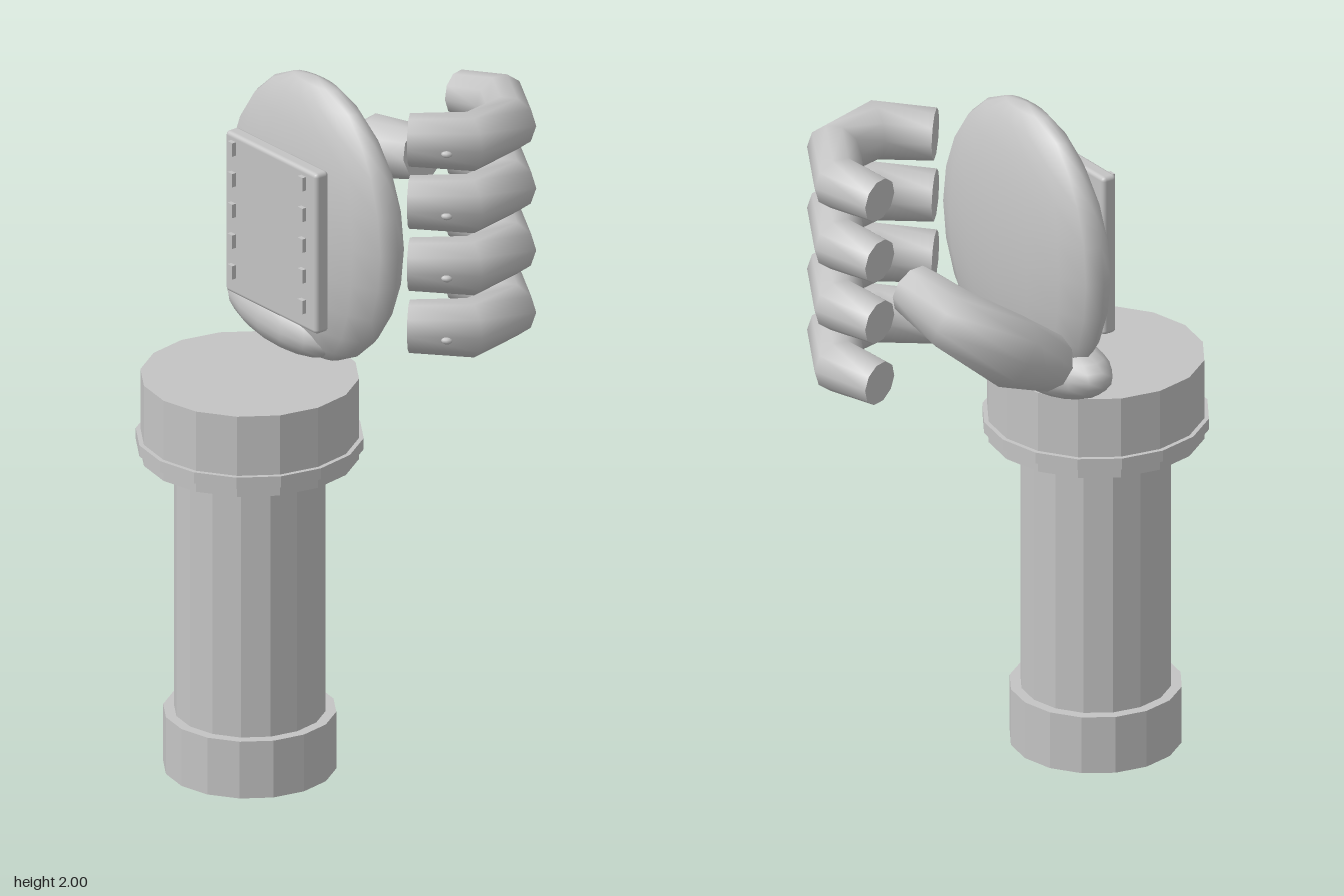
import * as THREE from 'three';
import { RoundedBoxGeometry } from 'three/addons/geometries/RoundedBoxGeometry.js';

const grey = new THREE.MeshStandardMaterial({ color: 0xc4c4c4 });
grey.name = 'grey';

function add(parent, name, geometry, x = 0, y = 0, z = 0) {
  const mesh = new THREE.Mesh(geometry, grey);
  mesh.name = name;
  mesh.position.set(x, y, z);
  parent.add(mesh);
  return mesh;
}

// Flat-sided upright drum between two heights
function drum(parent, name, radius, y0, y1) {
  const g = new THREE.CylinderGeometry(radius, radius, y1 - y0, 16).toNonIndexed();
  g.computeVertexNormals();
  return add(parent, name, g, 0.02, (y0 + y1) / 2, 0.26);
}

function ellipsoid(parent, name, x, y, z, rx, ry, rz) {
  const mesh = add(parent, name, new THREE.SphereGeometry(1, 16, 12), x, y, z);
  mesh.scale.set(rx, ry, rz);
  return mesh;
}

// Bent limb: rings [x, y, z, radius] joined in a loop, smooth sides, flat end caps
function limb(rings, sides = 10) {
  const centres = rings.map(r => new THREE.Vector3(r[0], r[1], r[2]));
  const pos = [], index = [];
  const last = rings.length - 1;
  const loops = centres.map((c, i) => {
    const before = c.clone().sub(centres[Math.max(i - 1, 0)]).normalize();
    const after = centres[Math.min(i + 1, last)].clone().sub(c).normalize();
    const t = before.add(after).normalize();
    const side = t.clone().cross(new THREE.Vector3(0, 1, 0)).normalize();
    const up = side.clone().cross(t);
    const loop = [];
    for (let j = 0; j < sides; j++) {
      const a = (j / sides) * Math.PI * 2;
      loop.push(c.clone()
        .addScaledVector(side, Math.cos(a) * rings[i][3])
        .addScaledVector(up, Math.sin(a) * rings[i][3]));
    }
    return loop;
  });
  const push = v => pos.push(v.x, v.y, v.z) / 3 - 1;
  loops.forEach(loop => loop.forEach(push));
  for (let i = 0; i < last; i++) {
    for (let j = 0; j < sides; j++) {
      const k = (j + 1) % sides;
      const a = i * sides + j, b = i * sides + k;
      index.push(a, a + sides, b, b, a + sides, b + sides);
    }
  }
  for (const end of [0, last]) {
    const centre = push(centres[end]);
    const rim = loops[end].map(push);
    rim.forEach((p, j) => {
      const q = rim[(j + 1) % sides];
      if (end === 0) index.push(centre, p, q);
      else index.push(centre, q, p);
    });
  }
  const g = new THREE.BufferGeometry();
  g.setAttribute('position', new THREE.Float32BufferAttribute(pos, 3));
  g.setIndex(index);
  g.computeVertexNormals();
  return g;
}

export function createModel() {
  const model = new THREE.Group();
  model.name = 'mechanicalHand';

  // Forearm post
  const forearm = new THREE.Group();
  forearm.name = 'forearm';
  model.add(forearm);
  drum(forearm, 'base', 0.24, 0, 0.17);
  drum(forearm, 'shaft', 0.21, 0.17, 0.93);
  drum(forearm, 'wristCollar', 0.303, 0.93, 1.17);
  drum(forearm, 'collarRing', 0.316, 0.96, 0.993);

  // Palm and thumb pad
  ellipsoid(model, 'palm', 0.018, 1.582, 0.025, 0.364, 0.418, 0.11);
  ellipsoid(model, 'thumbPad', -0.105, 1.255, 0.03, 0.238, 0.09, 0.105).rotation.z = -0.12;

  // Back plate with two rows of studs
  add(model, 'backPlate', new RoundedBoxGeometry(0.405, 0.48, 0.046, 2, 0.012), 0.018, 1.572, 0.162);
  for (const x of [-0.138, 0.173]) {
    for (let i = 0; i < 5; i++) {
      add(model, 'stud', new THREE.BoxGeometry(0.021, 0.04, 0.013), x, 1.776 - i * 0.092, 0.198);
    }
  }

  // Four curled fingers, each with a small rivet near the knuckle
  const fingerShape = limb([
    [0.255, 0, -0.115, 0.074],
    [0.372, 0.002, -0.237, 0.083],
    [0.333, 0, -0.402, 0.079],
    [0.176, -0.012, -0.498, 0.077],
    [0.038, -0.022, -0.46, 0.064],
  ]);
  const rivetShape = new THREE.SphereGeometry(1, 8, 6);
  for (let i = 0; i < 4; i++) {
    const finger = new THREE.Group();
    finger.name = 'finger';
    finger.position.y = 1.85 - i * 0.186;
    model.add(finger);
    add(finger, 'fingerTube', fingerShape);
    const rivet = add(finger, 'rivet', rivetShape, 0.385, -0.008, -0.143);
    rivet.scale.set(0.016, 0.01, 0.01);
    rivet.rotation.y = Math.PI / 4;
  }

  // Thumb
  add(model, 'thumb', limb([
    [-0.272, 1.36, -0.118, 0.084],
    [-0.355, 1.475, -0.3, 0.105],
    [-0.262, 1.575, -0.432, 0.092],
    [-0.1, 1.605, -0.445, 0.075],
  ]));

  return model;
}
